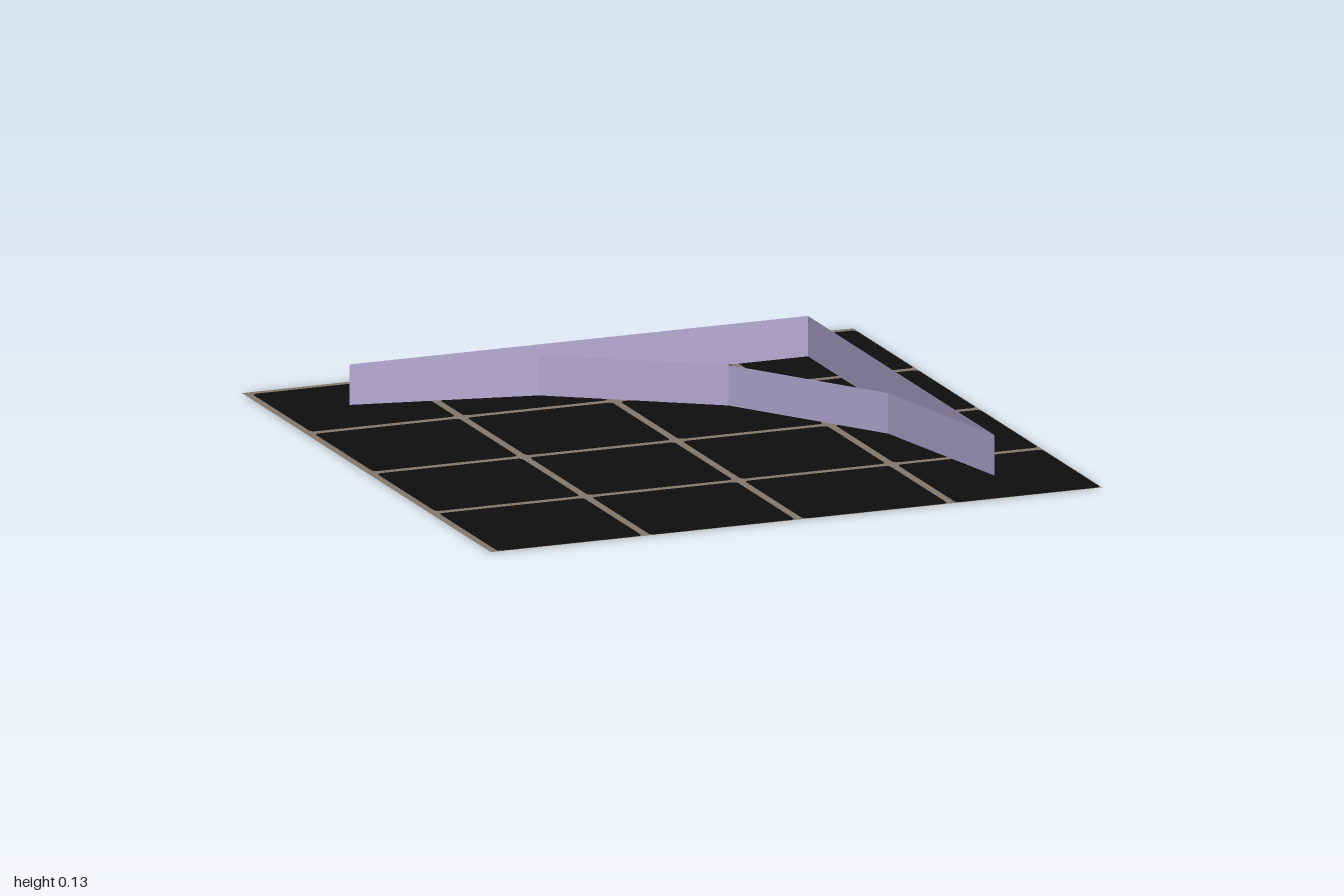
import * as THREE from 'three';
import { mergeGeometries } from 'three/addons/utils/BufferGeometryUtils.js';

const HEIGHT = 0.13;   // wall height
const HALF = 0.75;     // half the footprint of the corner piece
const FLOOR_Y = 0.003; // floor lies just above the base face

const material = (name, color, side) => {
  const m = new THREE.MeshStandardMaterial({ color, side });
  m.name = name;
  return m;
};

// Square outline with softly rounded corners
function roundedSquare(target, x0, y0, x1, y1, r) {
  target.moveTo(x0 + r, y0);
  target.lineTo(x1 - r, y0).quadraticCurveTo(x1, y0, x1, y0 + r);
  target.lineTo(x1, y1 - r).quadraticCurveTo(x1, y1, x1 - r, y1);
  target.lineTo(x0 + r, y1).quadraticCurveTo(x0, y1, x0, y1 - r);
  target.lineTo(x0, y0 + r).quadraticCurveTo(x0, y0, x0 + r, y0);
  return target;
}

// Flat face in the ground plane, with shape y becoming z
const flat = (shape, y) => new THREE.ShapeGeometry(shape, 3).rotateX(Math.PI / 2).translate(0, y, 0);

// Upright panel between two ground points
function panel(a, b) {
  const d = b.clone().sub(a);
  return new THREE.PlaneGeometry(d.length(), HEIGHT)
    .rotateY(-Math.atan2(d.y, d.x))
    .translate((a.x + b.x) / 2, HEIGHT / 2, (a.y + b.y) / 2);
}

export function createModel() {
  const group = new THREE.Group();
  const tileMat = material('black tile', 0x0d0d0d, THREE.DoubleSide);
  const lineMat = material('taupe grid line', 0x80766a, THREE.DoubleSide);
  const wallMat = material('lavender wall', 0xb4aad3, THREE.DoubleSide);
  const baseMat = material('light grey base', 0xd0d0d0, THREE.FrontSide);

  const add = (name, geometry, mat) => {
    const mesh = new THREE.Mesh(geometry, mat);
    mesh.name = name;
    group.add(mesh);
  };

  // Floor: grid sheet with sixteen openings, each filled by a tile
  const sheet = new THREE.Shape([
    new THREE.Vector2(-1, -1), new THREE.Vector2(1, -1),
    new THREE.Vector2(1, 1), new THREE.Vector2(-1, 1),
  ]);
  const tiles = [];
  for (let i = 0; i < 4; i++) {
    for (let j = 0; j < 4; j++) {
      const x = -1 + i * 0.5, z = -1 + j * 0.5;
      const box = [x + 0.024, z + 0.022, x + 0.498, z + 0.496, 0.018];
      sheet.holes.push(roundedSquare(new THREE.Path(), ...box));
      tiles.push(flat(roundedSquare(new THREE.Shape(), ...box), FLOOR_Y));
    }
  }
  add('floorGrid', flat(sheet, FLOOR_Y), lineMat);
  add('floorTiles', mergeGeometries(tiles), tileMat);

  // Footprint: a quarter arc in four steps, closed by the square corner
  const points = [];
  for (let i = 0; i <= 4; i++) {
    const a = (i / 4) * Math.PI / 2;
    points.push(new THREE.Vector2(-HALF + 2 * HALF * Math.sin(a), HALF - 2 * HALF * Math.cos(a)));
  }
  points.push(new THREE.Vector2(HALF, -HALF));

  // Walls: faceted inner curve and two straight sides
  const panels = points.map((p, i) => panel(p, points[(i + 1) % points.length]));
  add('curvedWall', mergeGeometries(panels.slice(0, 4)), wallMat);
  add('sideWall', panels[4], wallMat);
  add('backWall', panels[5], wallMat);

  // Base face, turned downwards
  add('base', flat(new THREE.Shape(points), 0), baseMat);

  return group;
}
